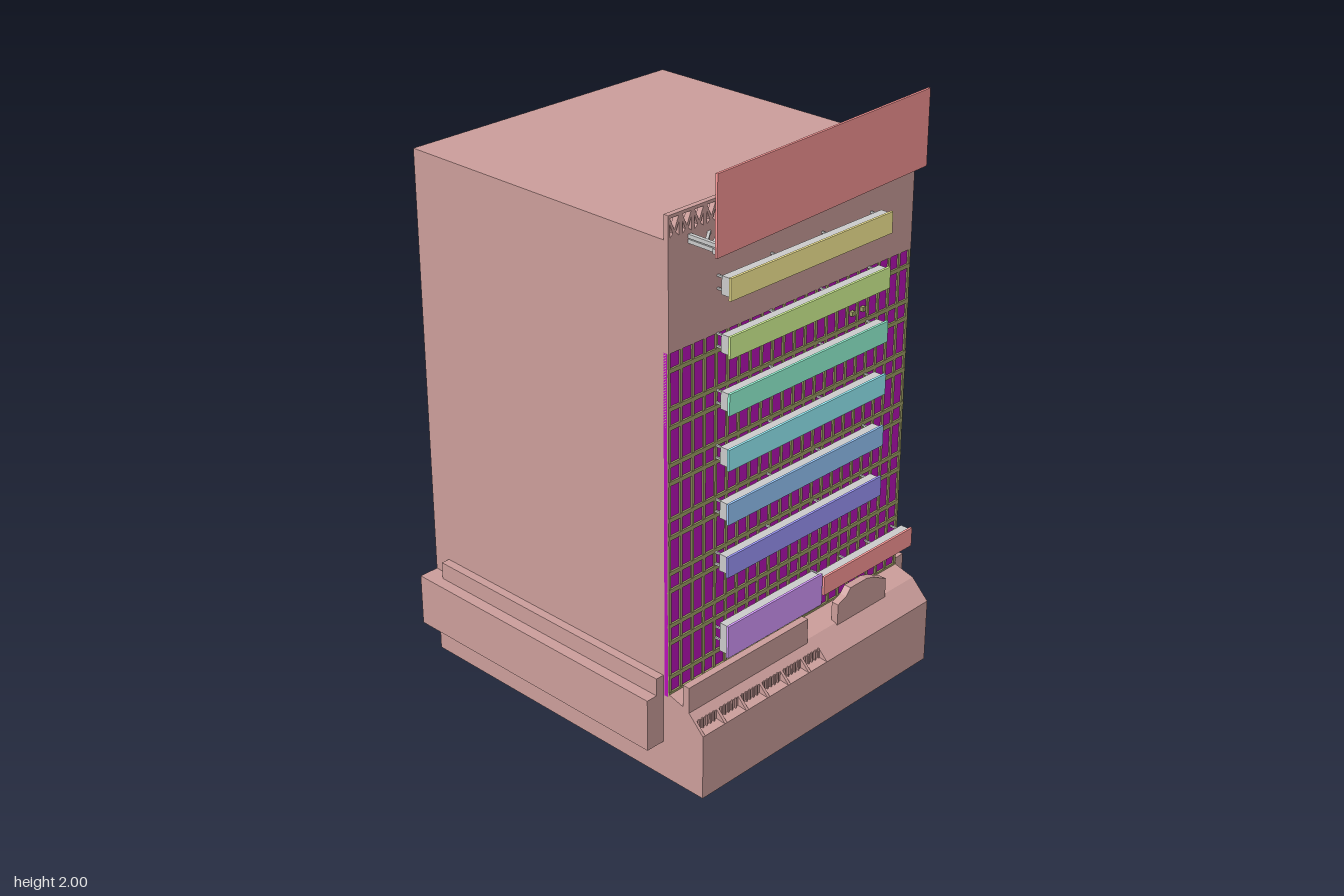
import * as THREE from 'three';

const mat = (color) => new THREE.MeshStandardMaterial({ color, flatShading: true });
const wall = mat(0xcc9e9b), grey = mat(0xcccccc), glass = mat(0xb811b8), olive = mat(0xa0a068), red = mat(0xff9a9a);

// Box given by its minimum and maximum on each axis
function box(parent, name, m, x0, x1, y0, y1, z0, z1) {
  const mesh = new THREE.Mesh(new THREE.BoxGeometry(x1 - x0, y1 - y0, z1 - z0), m);
  mesh.position.set((x0 + x1) / 2, (y0 + y1) / 2, (z0 + z1) / 2);
  mesh.name = name;
  parent.add(mesh);
  return mesh;
}

// Square bar between two points
function bar(parent, name, m, a, b, size) {
  const p = new THREE.Vector3(...a), q = new THREE.Vector3(...b);
  const mesh = new THREE.Mesh(new THREE.BoxGeometry(size, size, p.distanceTo(q)), m);
  mesh.position.copy(p).add(q).multiplyScalar(0.5);
  mesh.lookAt(q);
  mesh.name = name;
  parent.add(mesh);
}

// Profile of [z, y] points extruded along x
function profileX(parent, name, m, pts, x0, x1) {
  const shape = new THREE.Shape(pts.map(([z, y]) => new THREE.Vector2(-z, y)));
  const geo = new THREE.ExtrudeGeometry(shape, { depth: x1 - x0, bevelEnabled: false });
  const mesh = new THREE.Mesh(geo.rotateY(Math.PI / 2), m);
  mesh.position.x = x0;
  mesh.name = name;
  parent.add(mesh);
}

// Profile of [x, y] points extruded along z
function profileZ(parent, name, m, shape, z0, z1) {
  const mesh = new THREE.Mesh(new THREE.ExtrudeGeometry(shape, { depth: z1 - z0, bevelEnabled: false }), m);
  mesh.position.z = z0;
  mesh.name = name;
  parent.add(mesh);
}

const poly = (pts) => pts.map(([x, y]) => new THREE.Vector2(x, y));

// Coloured sign on a grey case held off the wall by pairs of rods
function sign(parent, name, color, x0, x1, y0, y1) {
  const g = new THREE.Group();
  g.name = name;
  box(g, 'signFace', mat(color), x0, x1, y0, y1, 0.531, 0.539);
  box(g, 'signCase', grey, x0 + 0.006, x1 - 0.006, y0 + 0.008, y1 - 0.004, 0.498, 0.531);
  const mid = (y0 + y1) / 2;
  for (let i = 0; i < 4; i++) {
    const x = x0 + 0.02 + (x1 - x0 - 0.04) * i / 3;
    for (const dy of [-0.02, 0.02]) bar(g, 'signRod', grey, [x, mid + dy, 0.465], [x, mid + dy, 0.505], 0.006);
  }
  parent.add(g);
}

function buildPodium(g) {
  // Front podium: solid slope at right, window bays at left
  profileX(g, 'podium', wall, [[0.45, 0], [0.61, 0], [0.61, 0.225], [0.545, 0.29], [0.47, 0.31], [0.45, 0.31]], 0.04, 0.54);
  profileX(g, 'podiumBays', wall, [[0.45, 0], [0.61, 0], [0.61, 0.225], [0.575, 0.228], [0.575, 0.26], [0.545, 0.29], [0.47, 0.31], [0.45, 0.31]], -0.54, 0.04);
  const pitch = 0.58 / 6;
  for (let i = 0; i <= 6; i++) {
    const x = Math.min(-0.54 + i * pitch, 0.03);
    profileX(g, 'bayDivider', wall, [[0.61, 0.225], [0.547, 0.288], [0.547, 0.225]], x, x + 0.01);
    if (i === 6) break;
    for (let k = 1; k < 6; k++) {
      const bx = -0.54 + (i + k / 6) * pitch;
      box(g, 'bayBar', wall, bx, bx + 0.004, 0.225, 0.262, 0.574, 0.58);
    }
  }
  // Low terrace wall and arched entrance front
  box(g, 'terraceWall', wall, -0.54, 0, 0.28, 0.372, 0.527, 0.552);
  const arch = new THREE.Shape(poly([[0.145, 0.285], [0.385, 0.285], [0.385, 0.355], [0.355, 0.37], [0.32, 0.388],
    [0.285, 0.398], [0.205, 0.398], [0.185, 0.375], [0.145, 0.36]]));
  profileZ(g, 'entranceArch', wall, arch, 0.527, 0.553);
  // Stepped ledges along both sides
  for (const s of [-1, 1]) {
    const span = (a, b) => s > 0 ? [a, b] : [-b, -a];
    box(g, 'sideLedge', wall, ...span(0.53, 0.61), 0.13, 0.31, -0.61, 0.445);
    box(g, 'sideUpstand', wall, ...span(0.53, 0.57), 0.31, 0.37, -0.545, 0.445);
  }
}

function buildFacade(g) {
  box(g, 'glassFront', glass, -0.54, 0.54, 0.3, 1.445, 0.45, 0.464);
  box(g, 'upperWall', wall, -0.54, 0.54, 1.445, 1.785, 0.45, 0.47);
  // Mullions and paired floor rails
  const n = 22;
  for (let i = 0; i <= n; i++) {
    const x = -0.535 + 1.07 * i / n;
    box(g, 'mullion', olive, x - 0.005, x + 0.005, 0.31, 1.445, 0.462, 0.469);
  }
  for (let i = 0; i < 7; i++) {
    const y = 1.39 - 0.18 * i;
    box(g, 'floorRail', olive, -0.54, 0.54, y - 0.007, y + 0.007, 0.462, 0.47);
    if (i < 6) box(g, 'floorRail', olive, -0.54, 0.54, y - 0.127, y - 0.113, 0.462, 0.47);
  }
  for (const x of [0.265, 0.315]) box(g, 'wallLamp', olive, x - 0.007, x + 0.007, 1.305, 1.32, 0.462, 0.476);
}

function buildParapet(g) {
  // Pierced parapet: a tall and two small triangular openings in every cell
  const shape = new THREE.Shape(poly([[-0.54, 1.78], [0.54, 1.78], [0.54, 1.86], [-0.54, 1.86]]));
  const n = 22, w = 1.08 / n;
  for (let i = 0; i < n; i++) {
    const c = -0.54 + (i + 0.5) * w;
    shape.holes.push(new THREE.Path(poly([[c - 0.017, 1.85], [c + 0.017, 1.85], [c, 1.812]])));
    for (const s of [-1, 1]) {
      shape.holes.push(new THREE.Path(poly([[c + s * 0.018, 1.832], [c + s * 0.018, 1.792], [c + s * 0.006, 1.803]])));
    }
  }
  profileZ(g, 'parapet', wall, shape, 0.452, 0.47);
}

function buildBillboard(g) {
  // Panel set at a slight angle to the wall
  const panel = new THREE.Group();
  panel.name = 'billboard';
  box(panel, 'billboardFace', red, -0.485, 0.485, 1.755, 2.0, -0.004, 0.004);
  box(panel, 'billboardBack', grey, -0.46, 0.46, 1.775, 1.965, -0.014, -0.004);
  box(panel, 'bottomBeam', grey, -0.47, 0.47, 1.757, 1.772, -0.026, -0.012);
  panel.position.z = 0.575;
  panel.rotation.y = 0.046;
  g.add(panel);
  // Support arms and diagonal braces back to the wall
  for (const s of [-1, 1]) {
    const zEnd = 0.56 - s * 0.02;
    for (const y of [1.763, 1.778]) bar(g, 'supportArm', grey, [s * 0.455, y, 0.46], [s * 0.455, y, zEnd], 0.012);
    for (let i = 0; i < 3; i++) {
      bar(g, 'brace', grey, [s * 0.455, 1.766, zEnd - i * 0.025], [s * (0.27 + i * 0.05), 1.766, 0.465], 0.009);
    }
  }
}

export function createModel() {
  const g = new THREE.Group();
  g.name = 'building';
  box(g, 'mainBlock', wall, -0.54, 0.54, 0, 1.785, -0.61, 0.46);
  buildPodium(g);
  buildFacade(g);
  buildParapet(g);
  buildBillboard(g);
  // Stack of coloured floor signs
  const colors = [0xfff29a, 0xdcff9a, 0x9affdc, 0x9af6ff, 0x9acbff, 0xa09aff];
  colors.forEach((c, i) => sign(g, 'floorSign', c, -0.36, 0.355, 1.57 - 0.18 * i, 1.64 - 0.18 * i));
  sign(g, 'lowerSign', 0xd79aff, -0.355, 0.08, 0.385, 0.497);
  sign(g, 'entranceSign', 0xff9a9a, 0.09, 0.53, 0.413, 0.48);
  return g;
}
